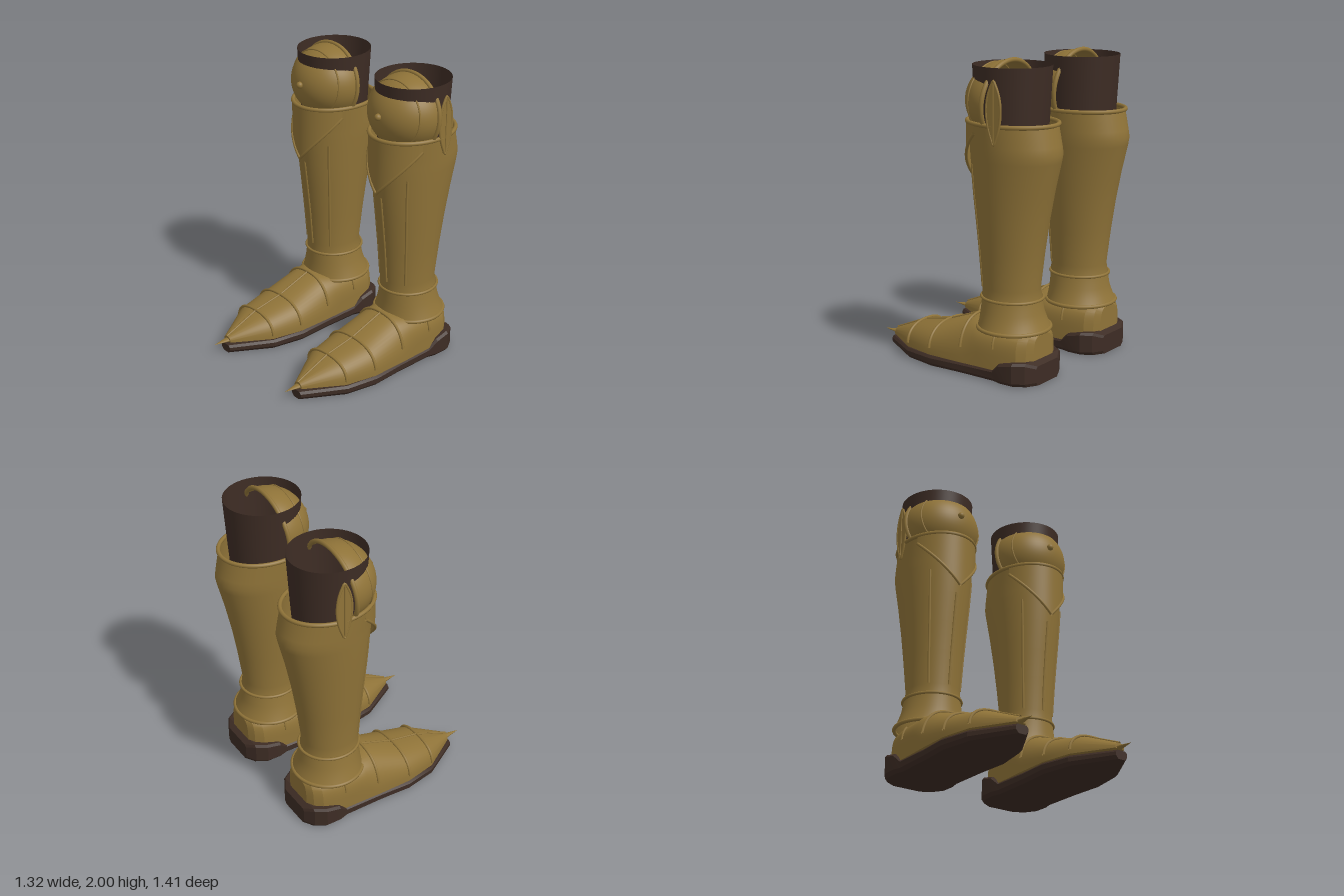
import * as THREE from 'three';
import { toCreasedNormals } from 'three/addons/utils/BufferGeometryUtils.js';

const brass = new THREE.MeshStandardMaterial({ color: 0x8f7338, side: THREE.DoubleSide });
brass.name = 'brass';
const leather = new THREE.MeshStandardMaterial({ color: 0x3d2c24, side: THREE.DoubleSide });
leather.name = 'dark leather';

const V = (x, y, z) => new THREE.Vector3(x, y, z);

function add(group, name, geometry, material = brass) {
  const mesh = new THREE.Mesh(geometry, material);
  mesh.name = name;
  group.add(mesh);
  return mesh;
}

// Skin over a list of rings with equal point counts
function loft(rings, { wrap = true, caps = false } = {}) {
  const n = rings[0].length, pos = [], idx = [];
  rings.forEach(r => r.forEach(p => pos.push(p.x, p.y, p.z)));
  for (let i = 0; i < rings.length - 1; i++) {
    for (let j = 0; j < (wrap ? n : n - 1); j++) {
      const k = (j + 1) % n, a = i * n + j, b = i * n + k;
      idx.push(a, b, b + n, a, b + n, a + n);
    }
  }
  if (caps) {
    const e = (rings.length - 1) * n;
    for (let j = 1; j < n - 1; j++) idx.push(0, j + 1, j, e, e + j, e + j + 1);
  }
  const g = new THREE.BufferGeometry();
  g.setAttribute('position', new THREE.Float32BufferAttribute(pos, 3));
  g.setIndex(idx);
  g.computeVertexNormals();
  return g;
}

function tube(points, r, closed = false) {
  const curve = new THREE.CatmullRomCurve3(points, closed);
  return new THREE.TubeGeometry(curve, points.length * 3, r, 8, closed);
}

// Linear lookup in a table whose first column is the key
function lookup(table, key) {
  let i = 0;
  while (i < table.length - 2 && table[i + 1][0] < key) i++;
  const f = (key - table[i][0]) / (table[i + 1][0] - table[i][0]);
  return table[i].map((v, c) => v + (table[i + 1][c] - v) * f);
}

// Point on a horizontal ellipse, t = 0 facing the front
const onEllipse = (y, cz, rx, rz, t) => V(rx * Math.sin(t), y, cz + rz * Math.cos(t));
const ellipse = (y, cz, rx, rz, n = 48) =>
  Array.from({ length: n }, (_, i) => onEllipse(y, cz, rx, rz, (i / n) * Math.PI * 2));

// Greave sections: y, centre z, half width, half depth
const GREAVE = [
  [0.32, -0.38, 0.232, 0.228], [0.36, -0.375, 0.215, 0.215], [0.42, -0.368, 0.196, 0.202],
  [0.5, -0.365, 0.18, 0.195], [0.57, -0.36, 0.17, 0.19], [0.8, -0.365, 0.187, 0.214],
  [1.0, -0.37, 0.203, 0.241], [1.2, -0.378, 0.22, 0.273], [1.38, -0.392, 0.234, 0.303],
  [1.43, -0.395, 0.236, 0.31], [1.48, -0.389, 0.238, 0.306], [1.61, -0.3675, 0.241, 0.298]
];

// Foot sections: z, half width, top y, squareness exponent
const FOOT_BASE = 0.075;
const FOOT = [
  [-0.605, 0.1, 0.3, 0.45], [-0.58, 0.15, 0.315, 0.45], [-0.53, 0.19, 0.32, 0.45],
  [-0.42, 0.214, 0.325, 0.45], [-0.25, 0.22, 0.335, 0.5], [-0.2, 0.222, 0.35, 0.6],
  [-0.12, 0.226, 0.355, 0.8], [0.13, 0.23, 0.262, 0.8], [0.345, 0.188, 0.218, 0.8],
  [0.595, 0.035, 0.112, 0.9]
];
function archPoint([z, w, top, e], t, grow = 0) {
  const c = Math.cos(t), s = Math.max(0, Math.sin(t));
  return V(Math.sign(c) * (w + grow) * Math.abs(c) ** e,
    FOOT_BASE + (top + grow - FOOT_BASE) * s ** e, z);
}
function arch(section, t0, t1, n, grow = 0) {
  return Array.from({ length: n + 1 }, (_, i) => archPoint(section, t0 + (t1 - t0) * i / n, grow));
}

// Sole sections: z, half width, top y
const SOLE = [
  [-0.64, 0.12, 0.125], [-0.6, 0.19, 0.152], [-0.53, 0.235, 0.152], [-0.43, 0.238, 0.13],
  [-0.37, 0.222, 0.077], [-0.1, 0.226, 0.072], [0.12, 0.24, 0.07], [0.34, 0.2, 0.065], [0.61, 0.045, 0.058]
];

function buildFoot(leg) {
  const sole = SOLE.map(([z, w, top]) => [
    V(w - 0.02, 0, z), V(w, 0.022, z), V(w, top - 0.015, z), V(w - 0.015, top, z),
    V(0.015 - w, top, z), V(-w, top - 0.015, z), V(-w, 0.022, z), V(0.02 - w, 0, z)
  ]);
  add(leg, 'sole', toCreasedNormals(loft(sole, { caps: true }), 0.3), leather);

  const shell = FOOT.map(s => arch(s, 0, Math.PI, 28));
  add(leg, 'footShell', toCreasedNormals(loft(shell, { caps: true }), 0.4));

  // Arched bands and the ridge along the instep
  for (const [z, t0] of [[-0.12, 0.28], [0.13, 0.165], [0.345, 0.12]]) {
    add(leg, 'footBand', tube(arch(lookup(FOOT, z), t0, Math.PI - t0, 24, 0.004), 0.01));
  }
  const ridge = FOOT.slice(6).map(s => archPoint(s, Math.PI / 2, 0.002));
  for (let i = 0; i < ridge.length - 1; i++) add(leg, 'instepRidge', tube([ridge[i], ridge[i + 1]], 0.007));

  // Short ribs by the ankle
  const ankle = lookup(FOOT, -0.37);
  add(leg, 'ankleRib', tube(arch(ankle, 0.26, 0.85, 6, 0.002), 0.008));
  add(leg, 'ankleRib', tube(arch(ankle, Math.PI - 0.26, Math.PI - 0.85, 6, 0.002), 0.008));

  const spike = add(leg, 'toeSpike', new THREE.ConeGeometry(0.036, 0.165, 16));
  spike.rotation.x = Math.PI / 2;
  spike.scale.z = 0.55;
  spike.position.set(0, 0.084, 0.6225);
}

function buildGreave(leg) {
  add(leg, 'greave', loft(GREAVE.map(([y, cz, rx, rz]) => ellipse(y, cz, rx, rz))));
  add(leg, 'greaveTopRim', tube(ellipse(1.61, -0.3675, 0.243, 0.3), 0.014, true));
  add(leg, 'ankleRing', tube(ellipse(0.505, -0.367, 0.186, 0.198), 0.01, true));
  add(leg, 'ankleHem', tube(ellipse(0.315, -0.38, 0.231, 0.228), 0.013, true));

  // Raised flutes down the shin
  for (const [t, top] of [[-0.78, 1.35], [0, 1.2], [0.78, 1.35]]) {
    const pts = Array.from({ length: 9 }, (_, i) => {
      const [y, cz, rx, rz] = lookup(GREAVE, 0.57 + (top - 0.57) * i / 8);
      return onEllipse(y, cz, rx, rz, t);
    });
    add(leg, 'shinFlute', tube(pts, 0.008));
  }

  // Pointed plate below the knee
  const span = 1.15, n = 32;
  const edge = (f, y) => onEllipse(y, -0.365, 0.249, 0.303, f * span);
  const hemY = f => 1.24 + 0.31 * Math.abs(f);
  const row = yOf => Array.from({ length: n + 1 }, (_, i) => {
    const f = (i / n) * 2 - 1;
    return edge(f, yOf(f));
  });
  add(leg, 'shinPoint', loft([row(hemY), row(() => 1.61)], { wrap: false }));
  for (const s of [-1, 1]) {
    const pts = Array.from({ length: 13 }, (_, i) => edge(s * i / 12, hemY(i / 12)));
    add(leg, 'shinPointTrim', tube(pts, 0.01));
  }
}

function buildKnee(leg, side) {
  add(leg, 'stocking', loft([
    ellipse(1.5, -0.365, 0.215, 0.222), ellipse(1.62, -0.365, 0.222, 0.23), ellipse(1.96, -0.365, 0.238, 0.25)
  ]), leather);

  // Half-dome knee cup with rim, ridge and stud
  const cup = add(leg, 'kneeCup', new THREE.SphereGeometry(1, 40, 28, 0, Math.PI));
  cup.scale.set(0.266, 0.245, 0.262);
  cup.position.set(0, 1.738, -0.332);
  cup.rotation.x = -0.1;
  const oval = (rx, ry) => Array.from({ length: 40 }, (_, i) => {
    const a = (i / 40) * Math.PI * 2;
    return V(rx * Math.cos(a), ry * Math.sin(a), 0);
  });
  const rim = add(leg, 'kneeCupRim', tube(oval(0.268, 0.247), 0.015, true));
  rim.position.copy(cup.position);
  rim.rotation.x = -0.1;
  const ridge = add(leg, 'kneeCupRidge', tube(oval(0.231, 0.213), 0.006, true));
  ridge.position.set(0, 1.751, -0.202);
  ridge.rotation.x = -0.1;
  const stud = add(leg, 'kneeStud', new THREE.SphereGeometry(0.023, 16, 12));
  stud.position.set(0, 1.76, -0.066);

  // Leaf-shaped wing on the outer side
  const wing = new THREE.Group();
  wing.name = 'kneeWing';
  const leaf = new THREE.Shape();
  leaf.moveTo(0, -0.195);
  leaf.bezierCurveTo(0.07, -0.06, 0.07, 0.09, 0, 0.19);
  leaf.bezierCurveTo(-0.07, 0.09, -0.07, -0.06, 0, -0.195);
  add(wing, 'wingPlate', new THREE.ExtrudeGeometry(leaf, { depth: 0.012, bevelEnabled: false, curveSegments: 16 }));
  add(wing, 'wingTrim', tube(leaf.getPoints(12).slice(0, -1).map(p => V(p.x, p.y, 0.008)), 0.008, true));
  add(wing, 'wingRib', tube([V(0, -0.18, 0.012), V(0, 0.18, 0.012)], 0.005));
  wing.rotation.y = side * Math.PI / 2;
  wing.position.set(side * 0.243, 1.695, -0.41);
  leg.add(wing);
}

export function createModel() {
  const model = new THREE.Group();
  model.name = 'armouredBoots';
  for (const side of [-1, 1]) {
    const leg = new THREE.Group();
    leg.name = side > 0 ? 'leftBoot' : 'rightBoot';
    buildFoot(leg);
    buildGreave(leg);
    buildKnee(leg, side);
    leg.position.x = side * 0.376;
    model.add(leg);
  }
  return model;
}
